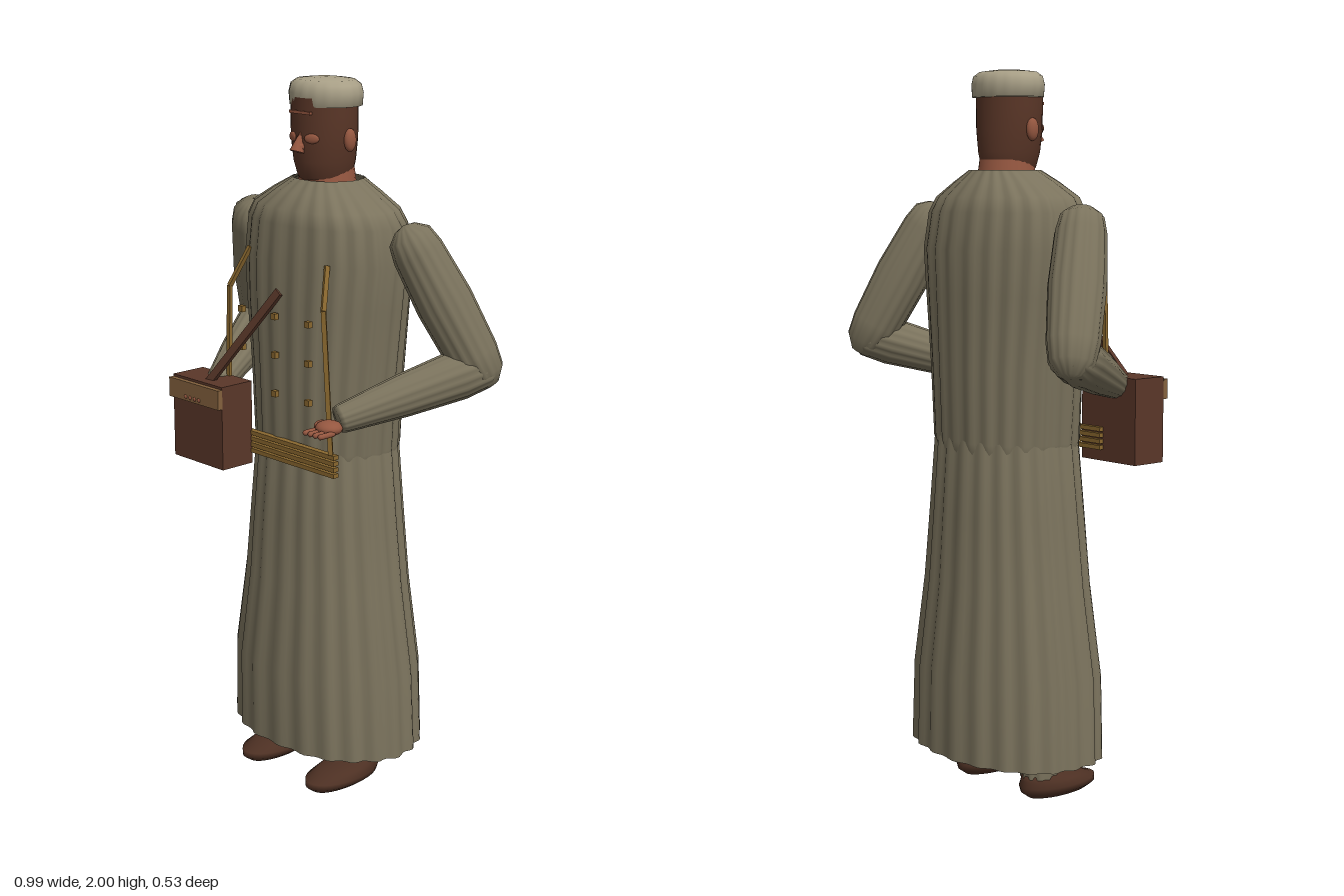
import * as THREE from 'three';

const mat = (name, color, side = THREE.FrontSide) => {
  const m = new THREE.MeshStandardMaterial({ color, side });
  m.name = name;
  return m;
};
const CX = -0.016; // body axis

// Lofts rings [y, cx, cz, rx, rz] upward; pleats ripple the radius
function loft(rings, seg = 32, pleats = 0, depth = 0, power = 2) {
  const pos = [], idx = [];
  rings.forEach(([y, cx, cz, rx, rz], i) => {
    for (let j = 0; j < seg; j++) {
      const a = (j / seg) * Math.PI * 2, c = Math.cos(a), s = Math.sin(a);
      const k = 1 + depth * (Math.sin(pleats * a) + 0.4 * Math.sin(7 * a + 1));
      const e = 2 / power;
      pos.push(cx + rx * k * Math.sign(c) * Math.abs(c) ** e, y, cz + rz * k * Math.sign(s) * Math.abs(s) ** e);
      if (i < rings.length - 1) {
        const p = i * seg + j, q = i * seg + (j + 1) % seg;
        idx.push(p, p + seg, q, q, p + seg, q + seg);
      }
    }
  });
  const g = new THREE.BufferGeometry();
  g.setAttribute('position', new THREE.Float32BufferAttribute(pos, 3));
  g.setIndex(idx);
  g.computeVertexNormals();
  return g;
}

export function createModel() {
  const root = new THREE.Group();
  root.name = 'robedMan';
  const cloth = mat('robe cloth', 0x7b735d, THREE.DoubleSide);
  const felt = mat('cap cloth', 0xa9a087);
  const dark = mat('dark skin', 0x5a3627);
  const skin = mat('light skin', 0x955740);
  const leather = mat('bag leather', 0x5a3729);
  const flapTan = mat('flap leather', 0x84623e);
  const brass = mat('ochre trim', 0x8a682f);
  const shoeBrown = mat('shoe leather', 0x4d3023);

  const add = (name, geo, m, x = 0, y = 0, z = 0, parent = root) => {
    const mesh = new THREE.Mesh(geo, m);
    mesh.name = name;
    mesh.position.set(x, y, z);
    parent.add(mesh);
    return mesh;
  };
  const box = (name, m, w, h, d, x, y, z) => add(name, new THREE.BoxGeometry(w, h, d), m, x, y, z);
  const ball = (name, m, sx, sy, sz, x, y, z, parent = root) => {
    const b = add(name, new THREE.SphereGeometry(1, 16, 12), m, x, y, z, parent);
    b.scale.set(sx, sy, sz);
    return b;
  };
  // Places a part built along +y so it runs from a to b
  const span = (mesh, a, b) => {
    const d = new THREE.Vector3(...b).sub(new THREE.Vector3(...a)).normalize();
    mesh.position.set(...a);
    mesh.quaternion.setFromUnitVectors(new THREE.Vector3(0, 1, 0), d);
    return mesh;
  };
  const dist = (a, b) => Math.hypot(a[0] - b[0], a[1] - b[1], a[2] - b[2]);
  const bar = (name, m, w, t, a, b) => {
    const L = dist(a, b);
    return span(add(name, new THREE.BoxGeometry(w, L, t).translate(0, L / 2, 0), m), a, b);
  };

  // Robe: rows are y, half width, front z, back z
  const robe = rows => rows.map(([y, rx, f, b]) => [y, CX, (f + b) / 2, rx, (f - b) / 2]);
  add('skirt', loft(robe([
    [0.12, 0.306, -0.064, -0.49], [0.35, 0.294, -0.06, -0.488], [0.6, 0.257, -0.083, -0.465],
    [0.8, 0.235, -0.093, -0.455], [1.0, 0.215, -0.105, -0.445], [1.03, 0.2, -0.12, -0.43],
  ]), 120, 22, 0.022, 2.15), cloth);
  add('torso', loft(robe([
    [0.97, 0.208, -0.112, -0.44], [1.0, 0.218, -0.102, -0.448], [1.2, 0.228, -0.098, -0.453],
    [1.4, 0.25, -0.096, -0.455], [1.52, 0.262, -0.1, -0.455], [1.62, 0.25, -0.108, -0.44],
    [1.66, 0.225, -0.118, -0.425], [1.7, 0.16, -0.155, -0.395], [1.732, 0.1, -0.19, -0.37],
  ]), 120, 24, 0.02, 2.15), cloth);

  // Head, neck and cap
  add('neck', new THREE.CylinderGeometry(0.074, 0.085, 0.08, 24), skin, CX, 1.72, -0.275);
  add('head', loft([
    [1.725, CX, -0.268, 0.062, 0.066], [1.74, CX, -0.268, 0.072, 0.077], [1.78, CX, -0.266, 0.082, 0.086],
    [1.84, CX, -0.265, 0.093, 0.088], [1.9, CX, -0.265, 0.094, 0.088], [1.95, CX, -0.265, 0.094, 0.088],
  ]), dark);
  add('cap', loft([
    [1.925, CX, -0.27, 0.09, 0.08], [1.927, CX, -0.27, 0.106, 0.09], [1.96, CX, -0.27, 0.109, 0.092],
    [1.982, CX, -0.27, 0.103, 0.087], [1.994, CX, -0.27, 0.085, 0.072], [1.999, CX, -0.27, 0.04, 0.035],
    [2.0, CX, -0.27, 0.001, 0.001],
  ], 64, 18, 0.008), felt);
  const nose = add('nose', new THREE.ConeGeometry(0.02, 0.06, 8), skin, CX, 1.838, -0.173);
  nose.rotation.x = -0.3;
  ball('noseTip', skin, 0.016, 0.014, 0.016, CX, 1.822, -0.171);
  box('brow', skin, 0.08, 0.008, 0.008, CX, 1.912, -0.178);
  for (const s of [-1, 1]) {
    ball('ear', skin, 0.014, 0.031, 0.019, CX + s * 0.097, 1.84, -0.267);
    const eye = ball('eyelid', skin, 0.022, 0.013, 0.006, CX + s * 0.037, 1.845, -0.184);
    eye.rotation.y = s * 0.4;
  }

  // Arms: shoulder, elbow and wrist points
  const arms = [
    ['right', -1, [-0.322, 1.61, -0.28], [-0.43, 1.26, -0.412], [-0.236, 1.145, -0.06]],
    ['left', 1, [0.292, 1.61, -0.28], [0.428, 1.26, -0.412], [0.252, 1.145, -0.06]],
  ];
  for (const [side, s, shoulder, elbow, wrist] of arms) {
    const sleeve = (name, a, b, rows) => {
      const L = dist(a, b);
      span(add(side + name, loft(rows.map(([t, r]) => [t * L, 0, 0, r, r]), 64, 16, 0.025), cloth), a, b);
    };
    sleeve('UpperSleeve', shoulder, elbow, [
      [-0.08, 0.001], [-0.06, 0.03], [0, 0.058], [0.12, 0.068], [0.5, 0.076], [0.9, 0.07], [1.05, 0.06], [1.14, 0.03], [1.15, 0.001],
    ]);
    sleeve('ForeSleeve', elbow, wrist, [
      [-0.13, 0.001], [-0.11, 0.035], [-0.03, 0.06], [0.15, 0.066], [0.55, 0.056], [0.97, 0.038], [1, 0.034], [1, 0.001],
    ]);
    // Hand with four fingers and a thumb
    const hand = new THREE.Group();
    hand.name = side + 'Hand';
    hand.position.set(wrist[0], 1.13, -0.03);
    root.add(hand);
    ball('palm', skin, 0.038, 0.02, 0.036, 0, 0, 0, hand);
    for (let i = 0; i < 4; i++) {
      const f = add('finger', new THREE.CapsuleGeometry(0.008, 0.042, 4, 8), skin, (i - 1.5) * 0.019, -0.008, 0.036, hand);
      f.rotation.x = Math.PI / 2;
    }
    ball('thumb', skin, 0.013, 0.013, 0.022, -s * 0.036, 0, -0.004, hand);
  }

  // Bag with flap and carrying strap
  box('bag', leather, 0.21, 0.237, 0.108, -0.23, 1.054, -0.037);
  box('bagFlap', flapTan, 0.212, 0.055, 0.015, -0.23, 1.138, 0.024);
  bar('bagStrap', leather, 0.024, 0.012, [-0.23, 1.15, -0.013], [-0.015, 1.44, -0.097]);

  // Front cords, belt bands and buttons
  const cords = [
    [[-0.163, 1.54, -0.125], [-0.205, 1.43, -0.085], [-0.213, 1.17, -0.085]],
    [[0.143, 1.53, -0.125], [0.174, 1.42, -0.083], [0.195, 1.03, -0.09]],
  ];
  for (const [a, b, c] of cords) {
    bar('upperCord', brass, 0.013, 0.01, a, b);
    bar('lowerCord', brass, 0.013, 0.01, b, c);
  }
  for (let i = 0; i < 4; i++) box('beltBand', brass, 0.42, 0.012, 0.018, 0, 0.973 + i * 0.017, -0.095);
  for (const x of [-0.15, CX, 0.117])
    for (const y of [1.375, 1.268, 1.16]) box('button', brass, 0.017, 0.017, 0.014, x, y, -0.081);

  // Legs and shoes
  for (const x of [-0.154, 0.121]) {
    add('trouserLeg', loft([
      [0.06, x, -0.275, 0.05, 0.052], [0.12, x, -0.275, 0.054, 0.056], [0.5, x * 0.9, -0.275, 0.075, 0.075],
    ], 48, 12, 0.04), cloth);
    add('ankle', new THREE.CylinderGeometry(0.042, 0.046, 0.05, 20), skin, x, 0.055, -0.272);
    add('shoe', loft([
      [0.001, x, -0.205, 0.001, 0.001], [0.002, x, -0.205, 0.045, 0.105], [0.018, x, -0.205, 0.066, 0.127],
      [0.035, x, -0.208, 0.072, 0.128], [0.052, x, -0.23, 0.062, 0.1], [0.068, x, -0.26, 0.05, 0.068],
      [0.07, x, -0.265, 0.001, 0.001],
    ], 32), shoeBrown);
  }
  return root;
}
